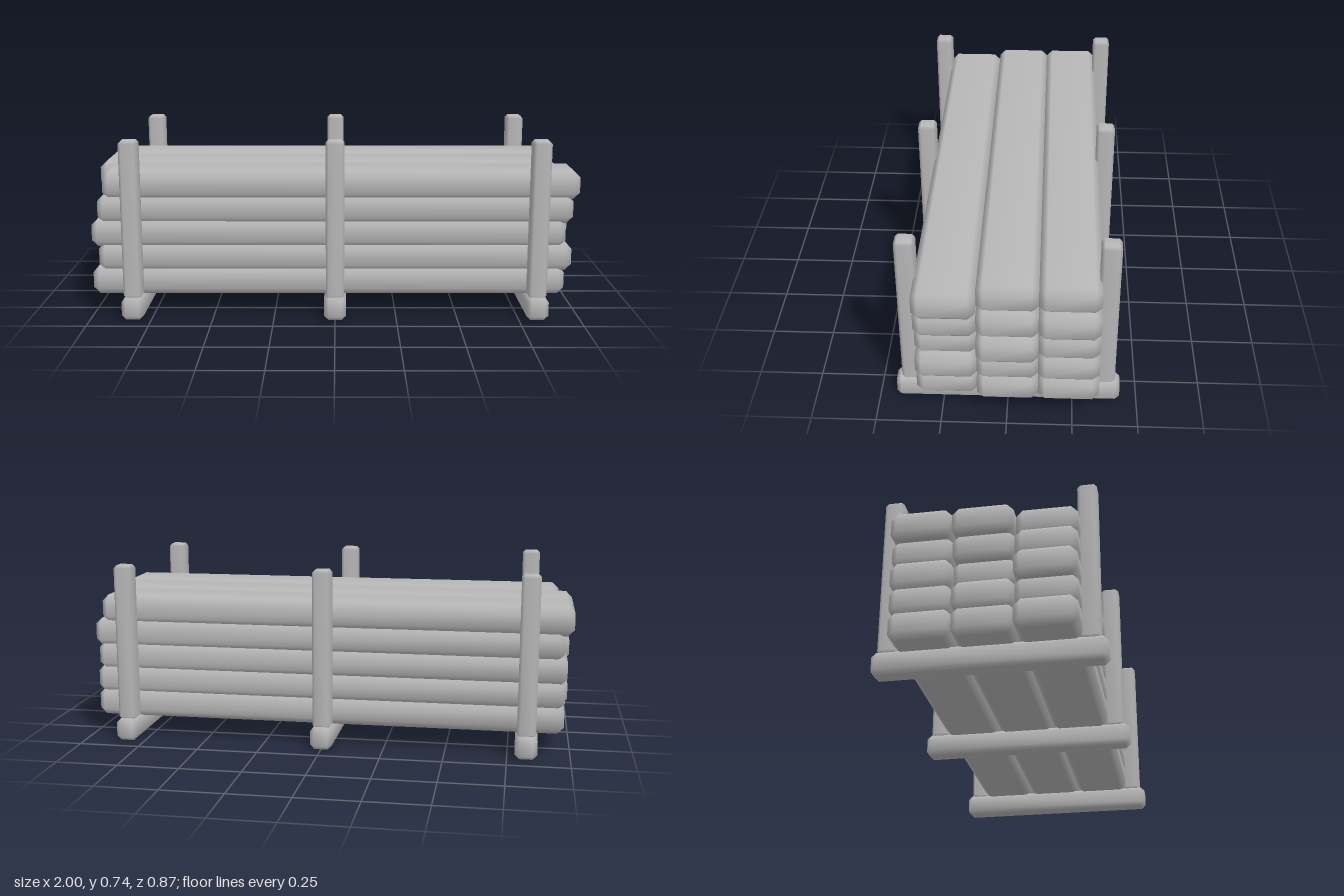
import * as THREE from 'three';
import { mergeVertices } from 'three/addons/utils/BufferGeometryUtils.js';
import { ConvexGeometry } from 'three/addons/geometries/ConvexGeometry.js';

// Box with chamfered edges and smooth normals
function chamferBox(w, h, d, c) {
  const points = [];
  for (const sx of [-1, 1]) for (const sy of [-1, 1]) for (const sz of [-1, 1]) {
    for (let axis = 0; axis < 3; axis++) {
      const inset = [c, c, c];
      inset[axis] = 0;
      points.push(new THREE.Vector3(
        sx * (w / 2 - inset[0]), sy * (h / 2 - inset[1]), sz * (d / 2 - inset[2])));
    }
  }
  const hull = new ConvexGeometry(points);
  hull.deleteAttribute('normal');
  const geometry = mergeVertices(hull, 1e-5);
  geometry.computeVertexNormals();
  return geometry;
}

export function createModel() {
  const model = new THREE.Group();
  model.name = 'lumberStack';
  const grey = new THREE.MeshStandardMaterial({ color: 0xb8b8b8 });
  grey.name = 'grey';

  const add = (name, geometry, x, y, z) => {
    const mesh = new THREE.Mesh(geometry, grey);
    mesh.name = name;
    mesh.position.set(x, y, z);
    model.add(mesh);
  };

  // Three cross beams, each with an upright post at both ends
  const beam = chamferBox(0.09, 0.092, 0.868, 0.018);
  const post = chamferBox(0.075, 0.65, 0.075, 0.012);
  for (const x of [-0.825, 0, 0.825]) {
    add('crossBeam', beam, x, 0.046, 0);
    add('frontPost', post, x, 0.411, 0.373);
    add('backPost', post, x, 0.411, -0.376);
  }

  // Stacked planks: lengthwise shift of each, rows from the bottom up, front to back
  const plank = chamferBox(1.945, 0.115, 0.232, 0.026);
  const shifts = [
    [-0.027, 0, 0],
    [0, -0.004, 0],
    [-0.027, 0.024, -0.006],
    [0, 0, 0.006],
    [0.024, -0.027, -0.027],
  ];
  shifts.forEach((row, r) => row.forEach((shift, c) => {
    add('plank', plank, shift, 0.1425 + r * 0.1, 0.229 - c * 0.231);
  }));

  return model;
}
